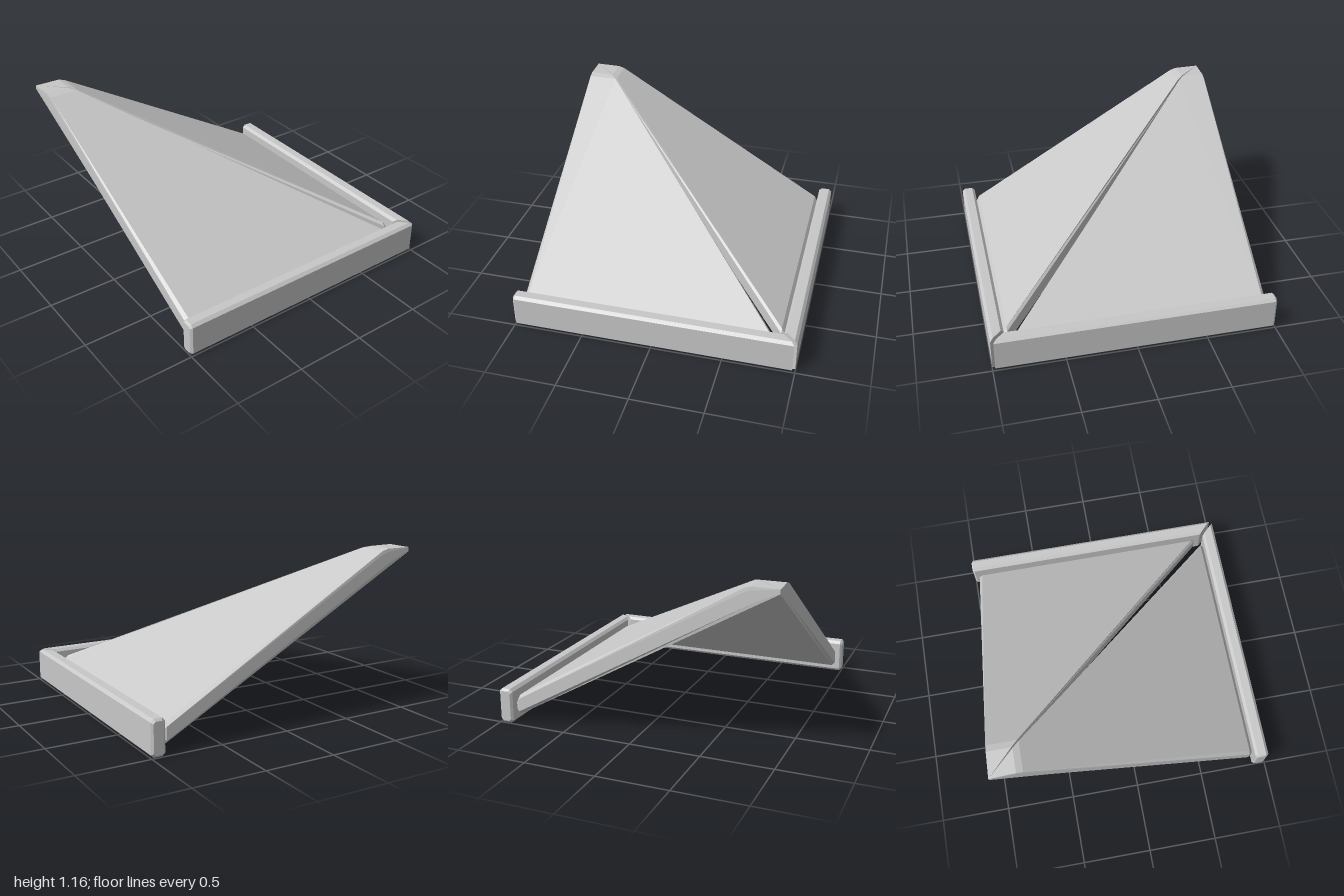
import * as THREE from 'three';

// Chamfered rectangular section: eight [u, y] points, clockwise from the top
function section(lo, hi, yBot, yTop, cu, cy) {
  return [
    [hi - cu, yTop], [hi, yTop - cy], [hi, yBot + cy], [hi - cu, yBot],
    [lo + cu, yBot], [lo, yBot + cy], [lo, yTop - cy], [lo + cu, yTop],
  ];
}

// Flat-faced solid through a list of rings, closed at both ends.
// mirrored reflects it across the hip diagonal: (x, z) -> (-z, -x)
function loft(rings, mirrored) {
  const pos = [];
  const tri = (a, b, c) => {
    const area = b.clone().sub(a).cross(c.clone().sub(a)).length();
    if (area < 1e-8) return;
    for (const p of mirrored ? [a, c, b] : [a, b, c]) {
      if (mirrored) pos.push(-p.z, p.y, -p.x);
      else pos.push(p.x, p.y, p.z);
    }
  };
  const n = rings[0].length;
  for (let r = 0; r + 1 < rings.length; r++) {
    const a = rings[r], b = rings[r + 1];
    for (let i = 0; i < n; i++) {
      const j = (i + 1) % n;
      tri(a[i], a[j], b[j]);
      tri(a[i], b[j], b[i]);
    }
  }
  const first = rings[0], last = rings[rings.length - 1];
  for (let i = 1; i + 1 < n; i++) {
    tri(first[0], first[i + 1], first[i]);
    tri(last[0], last[i], last[i + 1]);
  }
  const g = new THREE.BufferGeometry();
  g.setAttribute('position', new THREE.Float32BufferAttribute(pos, 3));
  g.computeVertexNormals();
  return g;
}

// Sloping triangular slab, tapering to a level-cut tip at x = -1
function panelRings() {
  const END = 0.895;
  // [x, underside y, top y, inset of the ends]
  const stations = [
    [-1, 1.13, 1.16, 0],
    [-0.82, 1.027, 1.16, 0],
    [-0.775, 1.001, 1.147, 0],
    [0.872, 0.055, 0.197, 0],
    [END, 0.07, 0.165, 0.015],
  ];
  return stations.map(([x, yBot, yTop, inset]) => {
    const t = (x + 1) / (END + 1);
    const inner = 1 - 1.85 * t + inset;
    const outer = 1 - 0.045 * t - inset;
    const cy = Math.min(0.025, (yTop - yBot) / 4);
    return section(inner, outer, yBot, yTop, 0.025 * t, cy)
      .map(([z, y]) => new THREE.Vector3(x, y, z));
  });
}

// Chamfered edge board along x = 1, mitred at the back corner
function boardRings() {
  const c = 0.02;
  const full = section(0.9, 1, 0, 0.25, c, c);
  const small = section(0.915, 0.985, 0.015, 0.235, c * 0.7, c * 0.7);
  const at = (pts, z) => pts.map(([x, y]) => new THREE.Vector3(x, y, z(x)));
  return [
    at(small, () => 1),
    at(full, () => 0.985),
    at(full, (x) => 0.018 - x),
  ];
}

export function createModel() {
  const model = new THREE.Group();
  model.name = 'hipRoofCorner';
  const grey = new THREE.MeshStandardMaterial({ color: 0xc8c8c8 });
  grey.name = 'light grey';
  grey.flatShading = true;

  const add = (name, rings, mirrored) => {
    const mesh = new THREE.Mesh(loft(rings, mirrored), grey);
    mesh.name = name;
    model.add(mesh);
  };

  // Each side of the hip has one roof slab and one edge board
  for (const [side, mirrored] of [['left', false], ['back', true]]) {
    add(side + 'RoofPanel', panelRings(), mirrored);
    add(side + 'EdgeBoard', boardRings(), mirrored);
  }
  return model;
}
